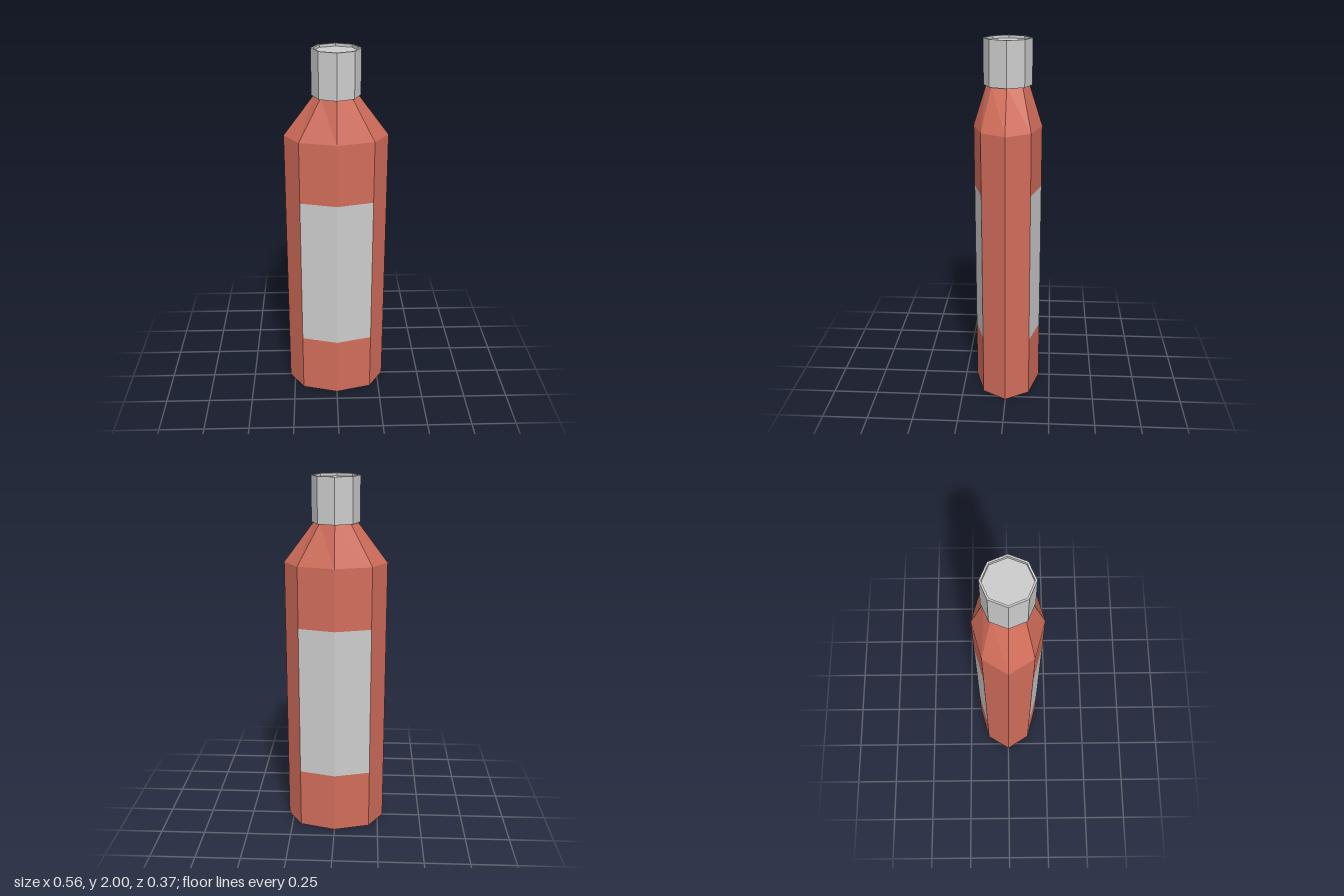
import * as THREE from 'three';

const RX = 0.28, RZ = 0.185;          // half width and half depth of the body
const SHOULDER = 1.54, NECK = 1.76;   // heights where the taper starts and ends
const LABEL_LOW = 0.345, LABEL_HIGH = 1.2;

const red = new THREE.MeshStandardMaterial({ color: 0xd06c5a, flatShading: true });
const grey = new THREE.MeshStandardMaterial({ color: 0xcccccc, flatShading: true });

// Eight-sided lathe (or part of one); profile points are [radius, height]
function turned(name, profile, material, start = 0, sides = 8) {
  const step = Math.PI / 4;
  const points = profile.map(([r, y]) => new THREE.Vector2(r, y));
  const geometry = new THREE.LatheGeometry(points, sides, start * step, sides * step);
  const mesh = new THREE.Mesh(geometry, material);
  mesh.name = name;
  return mesh;
}

// Flatten front to back: oval up to the shoulder, blending to round at the neck
function flatten(mesh) {
  const p = mesh.geometry.attributes.position;
  for (let i = 0; i < p.count; i++) {
    const t = THREE.MathUtils.clamp((p.getY(i) - SHOULDER) / (NECK - SHOULDER), 0, 1);
    p.setZ(i, p.getZ(i) * THREE.MathUtils.lerp(RZ / RX, 1, t));
  }
  mesh.geometry.computeVertexNormals();
  return mesh;
}

export function createModel() {
  const bottle = new THREE.Group();
  bottle.name = 'bottle';

  // Body: hollowed base, band beside the labels, shoulder and neck
  const base = [[0, 0.02], [0.215, 0.02], [RX, 0], [RX, LABEL_LOW]];
  const shoulder = [[RX, LABEL_HIGH], [RX, SHOULDER], [0.115, NECK], [0.115, 1.8]];
  bottle.add(flatten(turned('lowerBody', base, red)));
  bottle.add(flatten(turned('upperBody', shoulder, red)));

  // Middle band: labels on front and back, plain body on the two sides
  const band = [[RX, LABEL_LOW], [RX, LABEL_HIGH]];
  [['frontLabel', grey], ['leftSide', red], ['backLabel', grey], ['rightSide', red]]
    .forEach(([name, material], i) =>
      bottle.add(flatten(turned(name, band, material, i * 2 - 1, 2))));

  // Cap with a shallow recess in its top
  const cap = [[0, 1.757], [0.13, 1.757], [0.13, 2], [0.119, 2], [0.119, 1.985], [0, 1.985]];
  bottle.add(turned('cap', cap, grey));

  return bottle;
}
